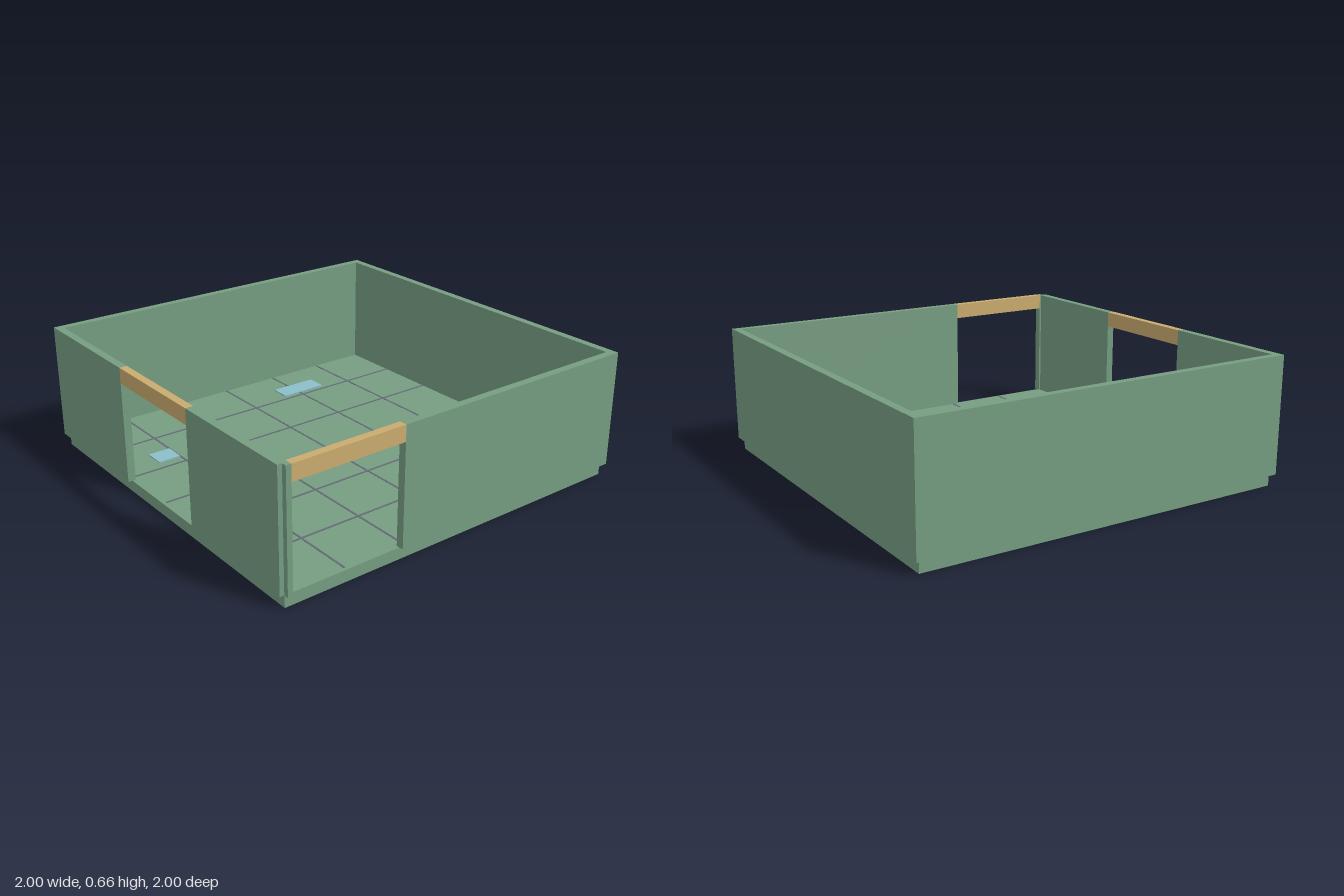
import * as THREE from 'three';

const material = (name, color) => {
  const m = new THREE.MeshStandardMaterial({ color });
  m.name = name;
  return m;
};

export function createModel() {
  const model = new THREE.Group();
  model.name = 'walledRoom';

  const green = material('wall green', 0x769d81);
  const tan = material('lintel tan', 0xc9ab6e);
  const grey = material('joint grey', 0x666c78);
  const blue = material('panel blue', 0x8bbfca);

  // Box given by its limits on each axis
  const block = (name, mat, [x0, x1], [y0, y1], [z0, z1]) => {
    const mesh = new THREE.Mesh(new THREE.BoxGeometry(x1 - x0, y1 - y0, z1 - z0), mat);
    mesh.position.set((x0 + x1) / 2, (y0 + y1) / 2, (z0 + z1) / 2);
    mesh.name = name;
    model.add(mesh);
  };

  const floor = 0.06, top = 0.66, doorTop = 0.58, inner = 0.96;
  const wallY = [floor, top], lintelY = [doorTop, top];

  // Floor slab, set in slightly under the walls
  block('floorSlab', green, [-0.977, 0.977], [0, floor], [-0.977, 0.977]);

  // Closed walls
  block('backWall', green, [-1, 1], wallY, [-1, -inner]);
  block('leftWall', green, [inner, 1], wallY, [-inner, 1]);

  // Front wall with a doorway near the right corner
  block('frontWall', green, [-0.36, inner], wallY, [inner, 1]);
  block('frontDoorPier', green, [-0.977, -0.95], wallY, [inner, 1]);
  block('frontLintel', tan, [-0.95, -0.36], lintelY, [inner, 1]);

  // Right wall with a central doorway
  block('rightWallBack', green, [-1, -inner], wallY, [-inner, -0.295]);
  block('rightWallFront', green, [-1, -inner], wallY, [0.295, 0.975]);
  block('rightLintel', tan, [-1, -inner], lintelY, [-0.295, 0.295]);

  // Joints between the floor tiles
  for (let i = -2; i <= 2; i++) {
    const c = i * 0.326, across = [c - 0.005, c + 0.005];
    block('floorJointAlong', grey, across, [floor, floor + 0.002], [-inner, inner]);
    block('floorJointAcross', grey, [-inner, inner], [floor, floor + 0.0025], across);
  }

  // Thin blue floor panels
  const panels = [
    [[-0.825, -0.615], [0.345, 0.51]],
    [[0.293, 0.457], [0.633, 0.766]],
    [[-0.777, -0.657], [-0.49, -0.383]],
    [[0.222, 0.485], [-0.79, -0.683]],
  ];
  for (const [x, z] of panels) block('floorPanel', blue, x, [floor, floor + 0.007], z);

  return model;
}
